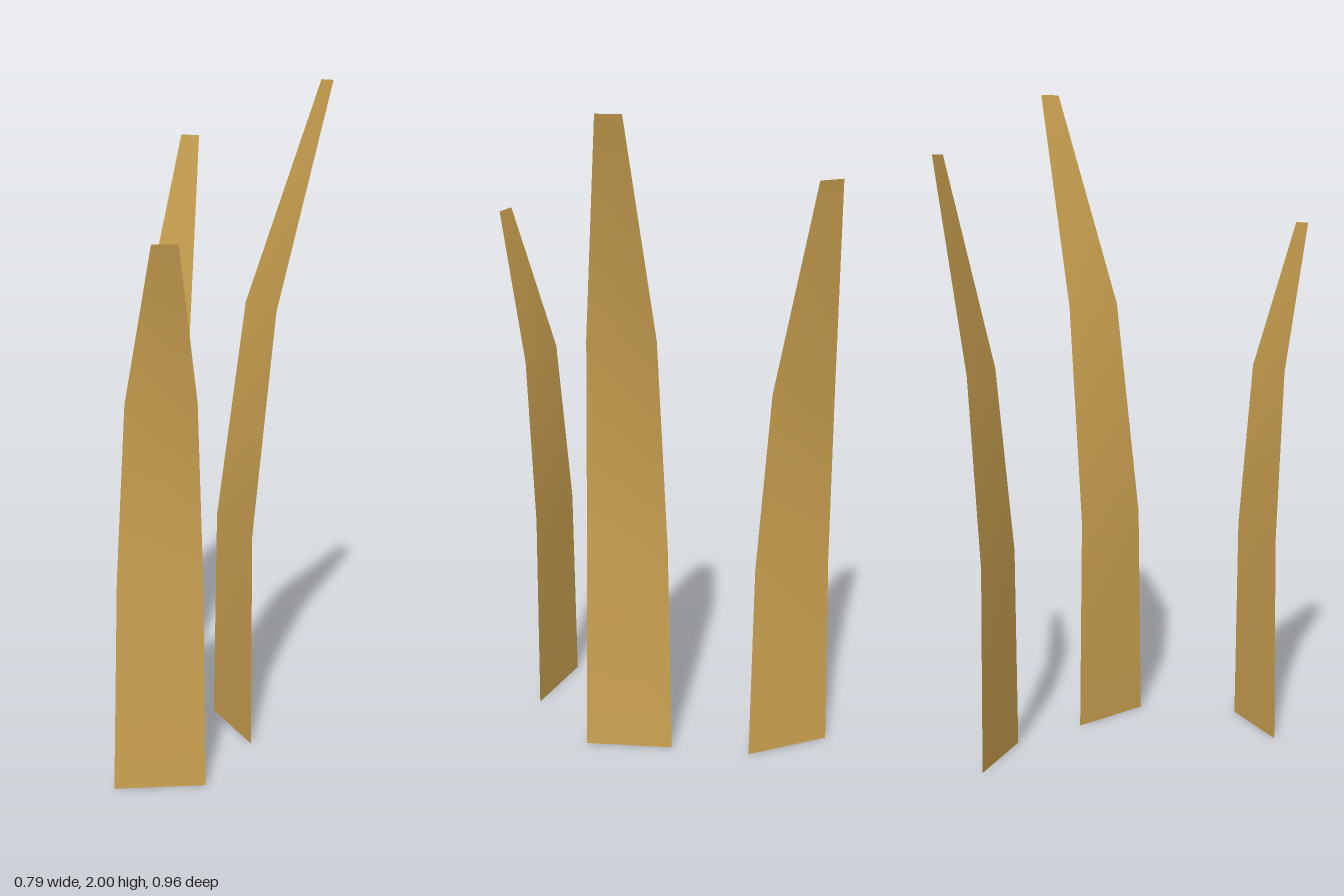
import * as THREE from 'three';

const straw = new THREE.MeshStandardMaterial({ color: 0xcfa552, side: THREE.DoubleSide });
straw.name = 'straw';

// Blade widths from the base to the tip
const WIDTHS = [0.267, 0.244, 0.2, 0.072];

// A tapering strip whose rows bend backward by the given lean
function blade({ name, x, z, angle, heights, lean }) {
  const geometry = new THREE.PlaneGeometry(1, 1, 1, 3);
  const position = geometry.attributes.position;
  for (let i = 0; i < position.count; i++) {
    const row = 3 - Math.floor(i / 2);
    const side = i % 2 ? 0.5 : -0.5;
    position.setXYZ(i, side * WIDTHS[row], heights[row], -lean[row]);
  }
  geometry.computeVertexNormals();
  const mesh = new THREE.Mesh(geometry, straw);
  mesh.name = name;
  mesh.position.set(x, 0, z);
  mesh.rotation.y = -THREE.MathUtils.degToRad(angle);
  return mesh;
}

export function createModel() {
  const group = new THREE.Group();
  group.name = 'grassTuft';
  group.add(
    blade({ name: 'rightBlade', x: -0.265, z: -0.304, angle: 0, heights: [0, 0.62, 1.18, 1.81], lean: [0, 0, 0.046, 0.175] }),
    blade({ name: 'tallBlade', x: 0.191, z: -0.113, angle: 28, heights: [0, 0.667, 1.34, 2], lean: [0, 0, 0.08, 0.288] }),
    blade({ name: 'shortBlade', x: 0.268, z: 0.349, angle: 136.5, heights: [0, 0.64, 1.155, 1.605], lean: [0, 0, 0.034, 0.145] }),
  );
  return group;
}
